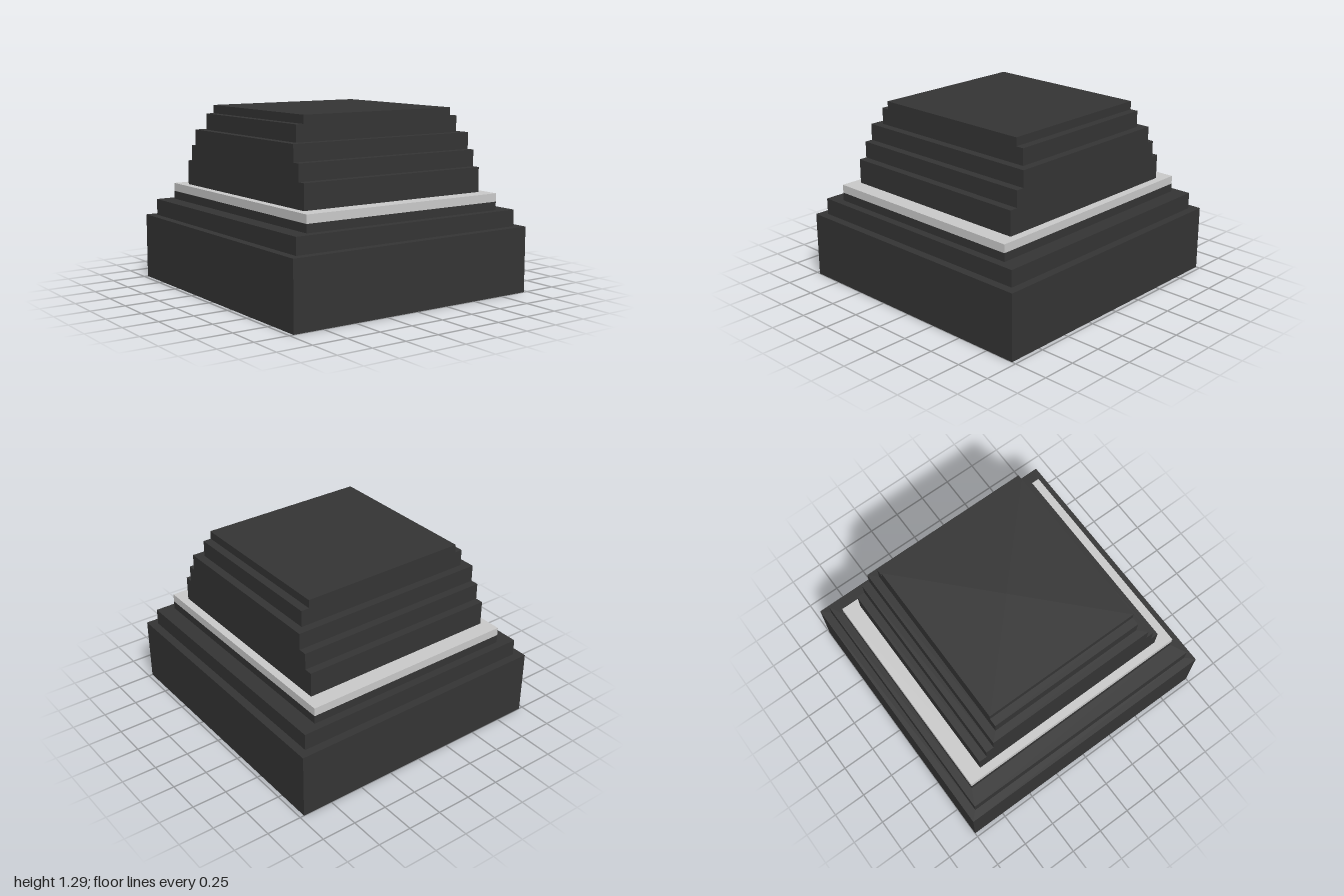
import * as THREE from 'three';

const charcoal = new THREE.MeshStandardMaterial({ color: 0x343434 });
charcoal.name = 'charcoal';
const paleGrey = new THREE.MeshStandardMaterial({ color: 0xc9c9c9 });
paleGrey.name = 'pale grey';

// Skins a run of rectangular rings [half width, half depth, height] with flat faces
function steppedShell(name, material, rings) {
  const corners = [[-1, 1], [1, 1], [1, -1], [-1, -1]];
  const at = ([w, d, y], i) =>
    new THREE.Vector3(corners[i % 4][0] * w, y, corners[i % 4][1] * d);
  const points = [];
  for (let r = 0; r < rings.length - 1; r++) {
    for (let i = 0; i < 4; i++) {
      const a = at(rings[r], i), b = at(rings[r], i + 1);
      const c = at(rings[r + 1], i + 1), d = at(rings[r + 1], i);
      for (const tri of [[a, b, c], [a, c, d]]) {
        if (new THREE.Triangle(...tri).getArea() > 1e-6) points.push(...tri);
      }
    }
  }
  const geometry = new THREE.BufferGeometry().setFromPoints(points);
  geometry.computeVertexNormals();
  const mesh = new THREE.Mesh(geometry, material);
  mesh.name = name;
  return mesh;
}

export function createModel() {
  const model = new THREE.Group();
  model.name = 'steppedBlock';

  // Hollow base: recess ceiling, stepped recess, bottom rim, then the outer tiers
  model.add(steppedShell('hollowBase', charcoal, [
    [0, 0, 0.59], [0.735, 0.82, 0.59],
    [0.735, 0.82, 0.53], [0.853, 0.882, 0.53],
    [0.853, 0.882, 0], [0.97, 1, 0],
    [0.97, 1, 0.47], [0.91, 0.94, 0.47],
    [0.91, 0.94, 0.588], [0.793, 0.882, 0.588],
    [0.793, 0.882, 0.647],
  ]));

  // Pale band around the middle
  model.add(steppedShell('paleBand', paleGrey, [
    [0.793, 0.882, 0.647], [0.793, 0.882, 0.706], [0.735, 0.765, 0.706],
  ]));

  // Upper block: steps in at front and back first, then at the sides
  model.add(steppedShell('upperSteps', charcoal, [
    [0.735, 0.765, 0.706],
    [0.735, 0.765, 0.882], [0.735, 0.706, 0.882],
    [0.735, 0.706, 1], [0.735, 0.647, 1],
    [0.735, 0.647, 1.118], [0.676, 0.588, 1.118],
    [0.676, 0.588, 1.235], [0.617, 0.588, 1.235],
    [0.617, 0.588, 1.294], [0, 0, 1.294],
  ]));

  return model;
}
